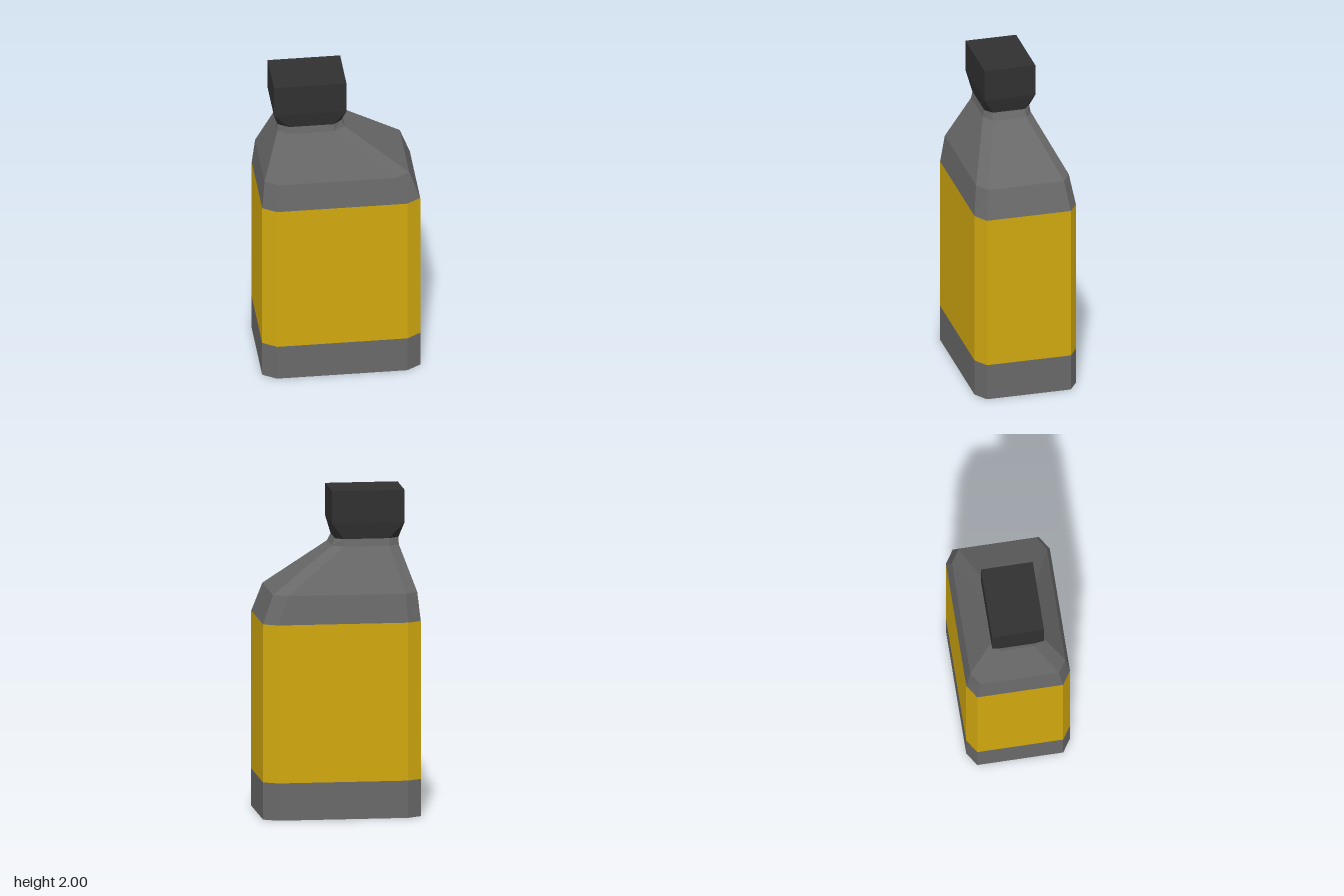
import * as THREE from 'three';

// Chamfered rectangle at height y: outer extents and the inner ends of the flat sides
function section(y, x0, x1, z, ix0 = x0, ix1 = x1, iz = z) {
  return [
    [x1, iz], [ix1, z], [ix0, z], [x0, iz],
    [x0, -iz], [ix0, -z], [ix1, -z], [x1, -iz],
  ].map(([px, pz]) => new THREE.Vector3(px, y, pz));
}

// Faceted loft through sections listed from bottom to top
function loft(name, material, sections, closeBottom, closeTop) {
  const points = [];
  const tri = (a, b, c) => {
    const area = b.clone().sub(a).cross(c.clone().sub(a)).length();
    if (area > 1e-6) points.push(a, b, c);
  };
  const n = 8;
  for (let s = 0; s < sections.length - 1; s++) {
    const low = sections[s], high = sections[s + 1];
    for (let i = 0; i < n; i++) {
      const j = (i + 1) % n;
      tri(low[i], high[i], low[j]);
      tri(low[j], high[i], high[j]);
    }
  }
  const first = sections[0], last = sections[sections.length - 1];
  for (let i = 1; i < n - 1; i++) {
    if (closeBottom) tri(first[0], first[i], first[i + 1]);
    if (closeTop) tri(last[0], last[i + 1], last[i]);
  }
  const geometry = new THREE.BufferGeometry().setFromPoints(points);
  geometry.computeVertexNormals();
  const mesh = new THREE.Mesh(geometry, material);
  mesh.name = name;
  return mesh;
}

export function createModel() {
  const paint = (name, color) => {
    const material = new THREE.MeshStandardMaterial({ color });
    material.name = name;
    return material;
  };
  const grey = paint('bottle grey', 0x686868);
  const yellow = paint('label yellow', 0xd0a80f);
  const black = paint('cap black', 0x303030);

  const bodyAt = (y) => section(y, -0.485, 0.485, 0.32, -0.4, 0.4, 0.265);
  const neckTop = section(1.7, -0.37, 0.02, 0.142, -0.305, -0.03, 0.1);

  const group = new THREE.Group();
  group.name = 'bottle';
  group.add(
    loft('base', grey, [bodyAt(0), bodyAt(0.23)], true, false),
    loft('label', yellow, [bodyAt(0.23), bodyAt(1.205)], false, false),
    // Shoulders lean toward the off-centre neck
    loft('shouldersAndNeck', grey, [
      bodyAt(1.205),
      section(1.38, -0.467, 0.42, 0.293, -0.39, 0.335, 0.24),
      section(1.655, -0.372, 0.042, 0.15, -0.308, -0.03, 0.105),
      neckTop,
    ], false, false),
    // Cap flares from the chamfered neck to square corners
    loft('cap', black, [
      neckTop,
      section(1.8, -0.4, 0.045, 0.16),
      section(2, -0.4, 0.045, 0.16),
    ], true, true),
  );
  return group;
}
